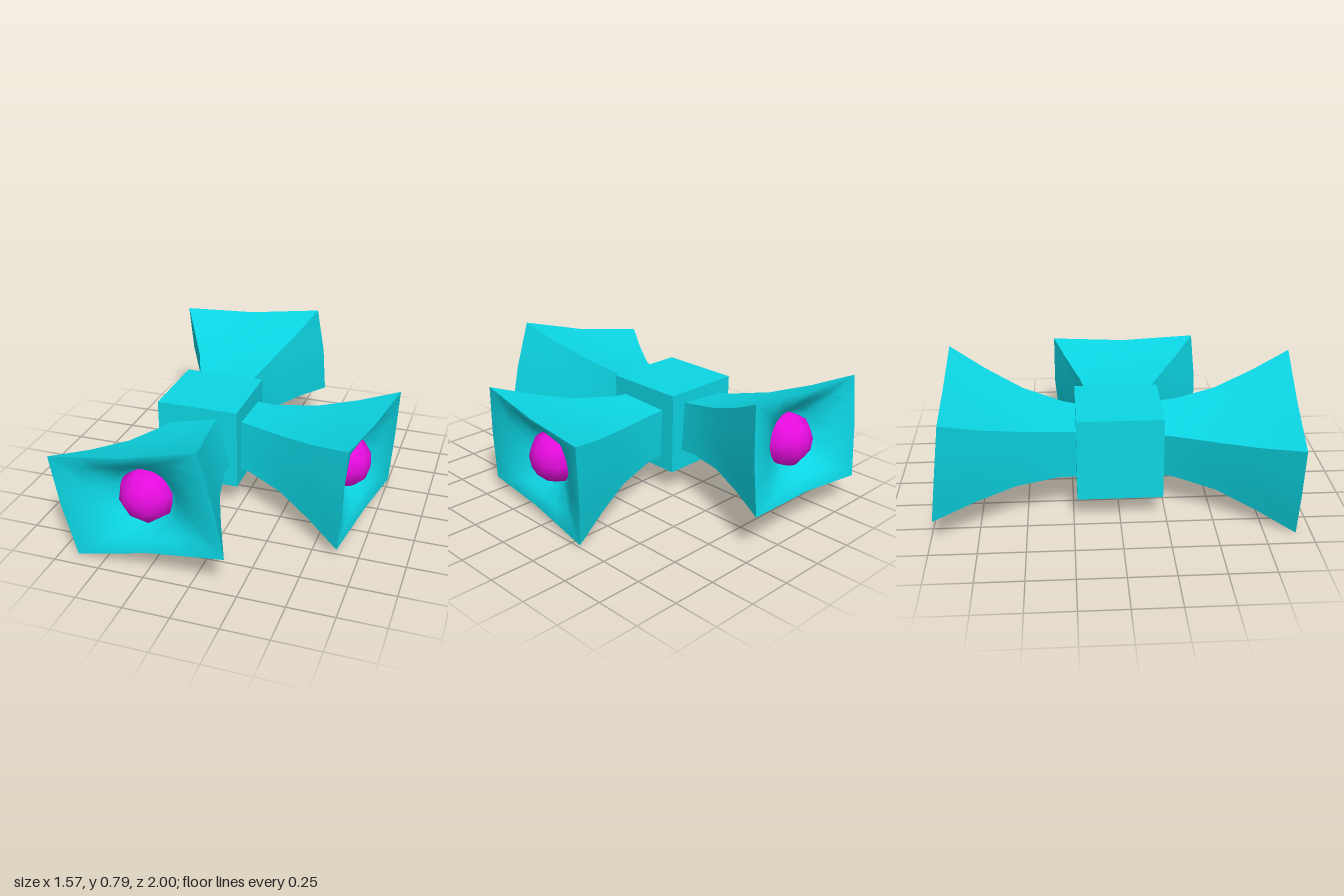
import * as THREE from 'three';
import { toCreasedNormals } from 'three/addons/utils/BufferGeometryUtils.js';

const shell = new THREE.MeshStandardMaterial({ color: 0x0cd6e4 });
const core = new THREE.MeshStandardMaterial({ color: 0xe80ce0 });

// Four-sided ring at height z; long sides bow in, short sides bow out as it flares.
// "round" blends the ring towards an ellipse.
function ring(w, h, z, round = 0) {
  const bow = Math.max(0, (w - 0.29) / 0.6);
  const corners = [[1, -1], [1, 1], [-1, 1], [-1, -1]];
  const points = [];
  corners.forEach(([ax, ay], i) => {
    const [bx, by] = corners[(i + 1) % 4];
    for (let s = 0; s < 4; s++) {
      const f = s / 4;
      const b = bow * (1 - Math.abs(2 * f - 1));
      const x = ax + (bx - ax) * f, y = ay + (by - ay) * f;
      const k = 1 - round + round / Math.hypot(x, y);
      const px = x * k * w / 2 + (ax === bx ? ax * 0.014 * b : 0);
      const py = y * k * h / 2 - (ay === by ? ay * 0.022 * b : 0);
      points.push([px, py, z]);
    }
  });
  return points;
}

// Skin a chain of rings
function loft(rings) {
  const n = rings[0].length;
  const index = [];
  for (let i = 0; i < rings.length - 1; i++) {
    for (let j = 0; j < n; j++) {
      const a = i * n + j, b = i * n + (j + 1) % n;
      index.push(a, b, b + n, a, b + n, a + n);
    }
  }
  const geometry = new THREE.BufferGeometry();
  geometry.setAttribute('position', new THREE.Float32BufferAttribute(rings.flat(2), 3));
  geometry.setIndex(index);
  return toCreasedNormals(geometry, 0.8);
}

// Flared horn: mouth in the local xy plane, neck running back along -z
const hornGeometry = loft([
  // outer wall, neck to mouth
  ring(0.27, 0.28, -0.83),
  ring(0.32, 0.285, -0.65),
  ring(0.469, 0.335, -0.42),
  ring(0.665, 0.435, -0.21),
  ring(0.868, 0.57, 0),
  // shallow dish closing the mouth
  ring(0.86, 0.562, 0),
  ring(0.62, 0.44, -0.035, 0.35),
  ring(0.38, 0.34, -0.1, 1),
  ring(0.27, 0.26, -0.15, 1),
  ring(0.001, 0.001, -0.17, 1),
]);
const ballGeometry = new THREE.SphereGeometry(0.157, 8, 6).rotateX(Math.PI / 2);

function makeHorn(name, center, across, up) {
  const group = new THREE.Group();
  group.name = name;
  const u = new THREE.Vector3(...across).normalize();
  const n = u.clone().cross(new THREE.Vector3(...up)).normalize();
  const v = n.clone().cross(u);
  group.quaternion.setFromRotationMatrix(new THREE.Matrix4().makeBasis(u, v, n));
  group.position.set(...center);

  const horn = new THREE.Mesh(hornGeometry, shell);
  horn.name = 'hornShell';
  const ball = new THREE.Mesh(ballGeometry, core);
  ball.name = 'hornBall';
  ball.position.z = -0.157;
  group.add(horn, ball);
  return group;
}

export function createModel() {
  const model = new THREE.Group();
  model.name = 'hornCluster';

  // Central block
  const hub = new THREE.Mesh(new THREE.BoxGeometry(0.46, 0.46, 0.46), shell);
  hub.name = 'hubCube';
  hub.position.set(-0.24, 0.367, 0);
  model.add(hub);

  // Three horns, each turned a little off square
  model.add(
    makeHorn('frontHorn', [-0.3, 0.382, 0.949], [0.835, 0.205, 0.08], [-0.135, 0.555, -0.018]),
    makeHorn('leftHorn', [0.71, 0.322, 0.099], [0.11, -0.043, -0.855], [0.03, 0.567, -0.02]),
    makeHorn('backHorn', [-0.27, 0.475, -0.948], [-0.857, -0.075, 0.022], [-0.042, 0.56, 0.075]),
  );
  return model;
}
